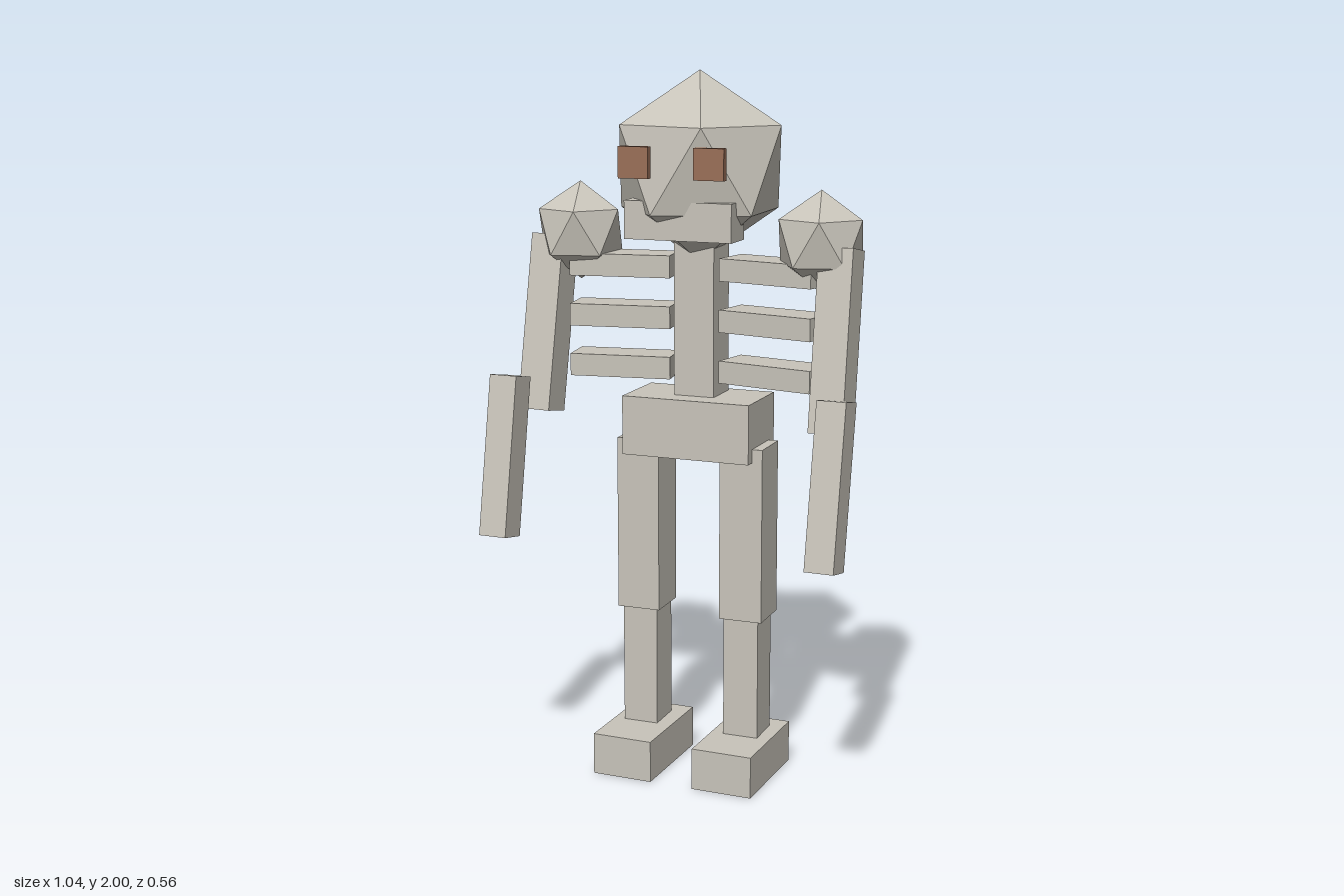
import * as THREE from 'three';
import { ConvexGeometry } from 'three/addons/geometries/ConvexGeometry.js';

export function createModel() {
  const model = new THREE.Group();
  const bone = new THREE.MeshStandardMaterial({ color: 0xc8c4ba });
  bone.name = 'bone';
  const rust = new THREE.MeshStandardMaterial({ color: 0x9a6f58 });
  rust.name = 'rust brown';

  function add(name, geometry, position, rotation = [0, 0, 0], material = bone) {
    const mesh = new THREE.Mesh(geometry, material);
    mesh.name = name;
    mesh.position.set(...position);
    mesh.rotation.set(...rotation);
    model.add(mesh);
    return mesh;
  }
  const box = (name, size, position, rotation, material) =>
    add(name, new THREE.BoxGeometry(...size), position, rotation, material);

  // Twenty-sided ball standing on one corner, with its own radius on each axis
  function ball(name, [rx, ry, rz], position, start) {
    const points = [new THREE.Vector3(0, ry, 0), new THREE.Vector3(0, -ry, 0)];
    const h = 1 / Math.sqrt(5);
    for (let i = 0; i < 10; i++) {
      const a = start + (i * Math.PI) / 5;
      const y = i % 2 ? -h : h;
      points.push(new THREE.Vector3(2 * h * rx * Math.cos(a), y * ry, 2 * h * rz * Math.sin(a)));
    }
    return add(name, new ConvexGeometry(points), position);
  }

  // Head, jaw and eyes, turned very slightly
  ball('head', [0.262, 0.263, 0.237], [-0.003, 1.737, -0.077], -0.055);
  box('jaw', [0.31, 0.105, 0.1], [0.002, 1.603, 0.048], [0, 0.03, 0]);
  box('rightEye', [0.085, 0.085, 0.024], [-0.1, 1.762, 0.146], [0, 0.06, 0], rust);
  box('leftEye', [0.085, 0.085, 0.024], [0.113, 1.762, 0.133], [0, 0.06, 0], rust);

  // Spine and hips
  box('spine', [0.118, 0.52, 0.118], [-0.005, 1.35, -0.095], [0, 0.02, 0]);
  box('hips', [0.378, 0.168, 0.21], [-0.005, 1.016, -0.073], [0, 0.02, 0]);

  for (const s of [1, -1]) {
    const side = s > 0 ? 'left' : 'right';

    // Ribs sweep forward towards their outer ends
    for (const y of [1.46, 1.317, 1.174])
      box(side + 'Rib', [0.29, 0.063, 0.12], [s * 0.227 - 0.003, y, -0.07], [0, -s * 0.175, 0]);

    // Arms swing forward below the shoulder
    ball(side + 'Shoulder', [0.132, 0.139, 0.135], [s * 0.36 - 0.003, 1.549, -0.064], 0.03);
    box(side + 'UpperArm', [0.097, 0.497, 0.1], [s * 0.43 - 0.003, 1.29, 0.007 - s * 0.004], [-0.185, 0, s * 0.015]);
    box(side + 'Forearm', [0.082, 0.452, 0.088], [s * 0.48 - 0.002, 0.935, 0.19 - s * 0.005], [-0.185, 0, 0]);

    // Legs
    box(side + 'Thigh', [0.126, 0.5, 0.135], [s * 0.157 - 0.007, 0.72, -0.07], [0, 0.03, 0]);
    box(side + 'Shin', [0.103, 0.36, 0.112], [s * 0.156 - 0.009, 0.295, -0.073], [0, 0.03, 0]);
    box(side + 'Foot', [0.178, 0.12, 0.312], [s * 0.153 - 0.004, 0.06, -0.026]);
  }
  return model;
}
